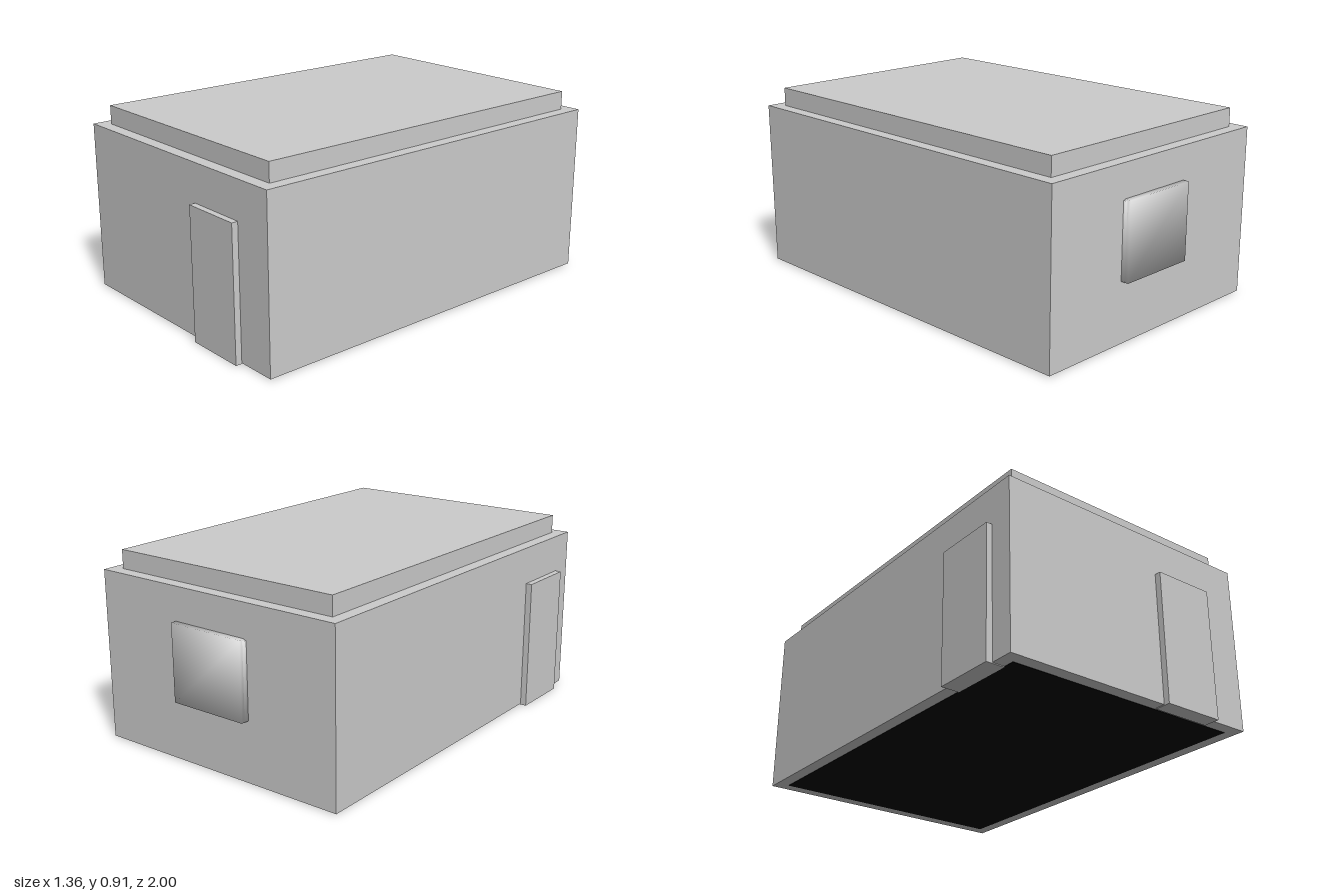
import * as THREE from 'three';

const grey = new THREE.MeshStandardMaterial({ color: 0xcccccc });
const black = new THREE.MeshStandardMaterial({ color: 0x000000 });

// Named box given by its extents on each axis
function box(name, [x0, x1], [y0, y1], [z0, z1], material = grey) {
  const geometry = new THREE.BoxGeometry(x1 - x0, y1 - y0, z1 - z0);
  const mesh = new THREE.Mesh(geometry, material);
  mesh.position.set((x0 + x1) / 2, (y0 + y1) / 2, (z0 + z1) / 2);
  mesh.name = name;
  return mesh;
}

// Smooth shading: every corner normal points diagonally outwards
function smooth(mesh) {
  const { position, normal } = mesh.geometry.attributes;
  const n = new THREE.Vector3();
  for (let i = 0; i < position.count; i++) {
    n.fromBufferAttribute(position, i);
    n.set(Math.sign(n.x), Math.sign(n.y), Math.sign(n.z)).normalize();
    normal.setXYZ(i, n.x, n.y, n.z);
  }
  return mesh;
}

export function createModel() {
  const model = new THREE.Group();
  model.name = 'building';

  model.add(
    // Main block and the inset raised roof
    box('walls', [-0.65, 0.68], [0.004, 0.82], [-0.97, 0.97]),
    box('roof', [-0.59, 0.62], [0.8, 0.91], [-0.91, 0.91]),

    // Dark floor inside the rim of the walls
    box('floor', [-0.59, 0.62], [0.002, 0.01], [-0.91, 0.91], black),

    // Door slabs on the front and on the -x side, set into the walls
    box('frontDoor', [0.18, 0.483], [0, 0.638], [0.92, 1]),
    box('sideDoor', [-0.68, -0.59], [0, 0.638], [0.55, 0.855]),

    // Back window: a softly shaded panel on a slightly wider backing
    smooth(box('windowPanel', [-0.17, 0.23], [0.29, 0.66], [-1, -0.95])),
    smooth(box('windowBacking', [-0.18, 0.24], [0.295, 0.655], [-0.983, -0.95])),
  );

  return model;
}
